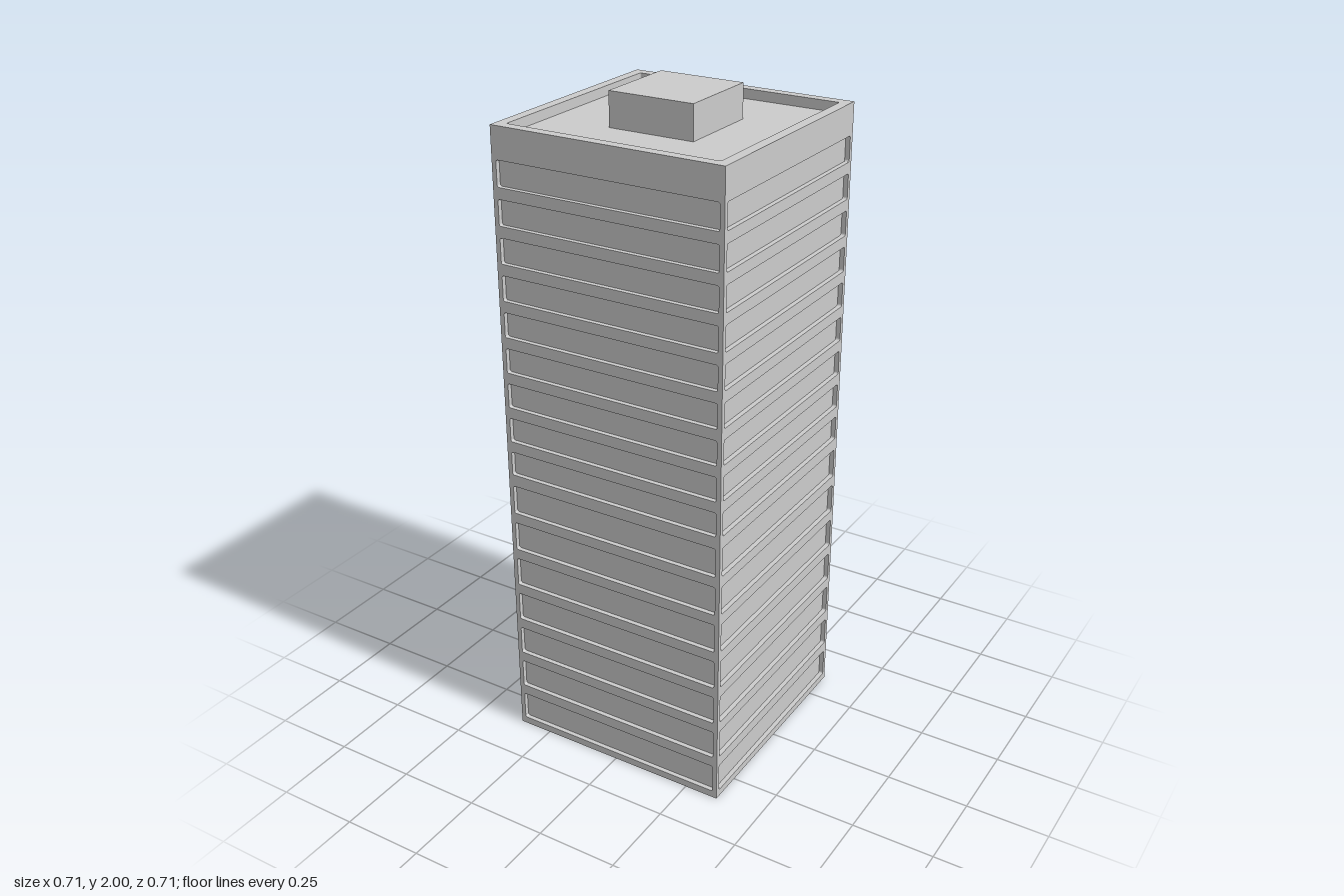
import * as THREE from 'three';

const HALF = 0.356;            // half width of the tower
const DEPTH = 0.014;           // depth of the window recesses
const CORE = HALF - DEPTH;     // half width of the glazed core
const ROOF = 1.9, TOP = 1.929; // roof deck and parapet heights

const material = new THREE.MeshStandardMaterial({ color: 0xcccccc, flatShading: true });

// Rectangle with slightly rounded corners, as a hole outline
function roundedRect(x0, y0, x1, y1, r) {
  const p = new THREE.Path();
  p.absarc(x1 - r, y1 - r, r, 0, Math.PI / 2);
  p.absarc(x0 + r, y1 - r, r, Math.PI / 2, Math.PI);
  p.absarc(x0 + r, y0 + r, r, Math.PI, Math.PI * 1.5);
  p.absarc(x1 - r, y0 + r, r, Math.PI * 1.5, Math.PI * 2);
  p.closePath();
  return p;
}

function rect(x0, y0, x1, y1) {
  return new THREE.Shape([[x0, y0], [x1, y0], [x1, y1], [x0, y1]].map(([x, y]) => new THREE.Vector2(x, y)));
}

// Tall lower storeys, then shorter upper ones: [bottom, top] of each window band
function windowBands() {
  const bands = [];
  for (let i = 0; i < 7; i++) bands.push([0.022 + i * 0.1236, 0.113 + i * 0.1236]);
  for (let i = 0; i < 9; i++) bands.push([0.892 + i * 0.1086, 0.967 + i * 0.1086]);
  return bands;
}

function facadeGeometry() {
  const shape = rect(-HALF, 0, HALF, ROOF);
  for (const [y0, y1] of windowBands()) shape.holes.push(roundedRect(-0.342, y0, 0.342, y1, 0.006));
  const geo = new THREE.ExtrudeGeometry(shape, { depth: DEPTH, bevelEnabled: false, curveSegments: 3 });
  // Mitre the back edges so the four panels meet cleanly at the corners
  const pos = geo.attributes.position;
  for (let i = 0; i < pos.count; i++) {
    const x = pos.getX(i);
    if (pos.getZ(i) < DEPTH / 2 && Math.abs(x) > CORE + 0.001) pos.setX(i, Math.sign(x) * CORE);
  }
  geo.translate(0, 0, CORE);
  geo.computeVertexNormals();
  return geo;
}

export function createModel() {
  const group = new THREE.Group();
  const add = (name, geo) => {
    const mesh = new THREE.Mesh(geo, material);
    mesh.name = name;
    group.add(mesh);
    return mesh;
  };

  // Core: window surfaces, roof deck and underside
  add('core', new THREE.BoxGeometry(CORE * 2, ROOF, CORE * 2)).position.y = ROOF / 2;

  // Four identical facades
  const facade = facadeGeometry();
  ['frontFacade', 'leftFacade', 'backFacade', 'rightFacade'].forEach((name, i) => {
    add(name, facade).rotation.y = i * Math.PI / 2;
  });

  // Parapet around the sunken roof
  const ring = rect(-HALF, -HALF, HALF, HALF);
  ring.holes.push(roundedRect(-0.325, -0.325, 0.325, 0.325, 0.004));
  const parapet = new THREE.ExtrudeGeometry(ring, { depth: TOP - ROOF, bevelEnabled: false, curveSegments: 3 });
  parapet.rotateX(-Math.PI / 2);
  add('parapet', parapet).position.y = ROOF;

  // Rooftop plant room
  add('plantRoom', new THREE.BoxGeometry(0.262, 2 - ROOF, 0.262)).position.y = (2 + ROOF) / 2;

  return group;
}
